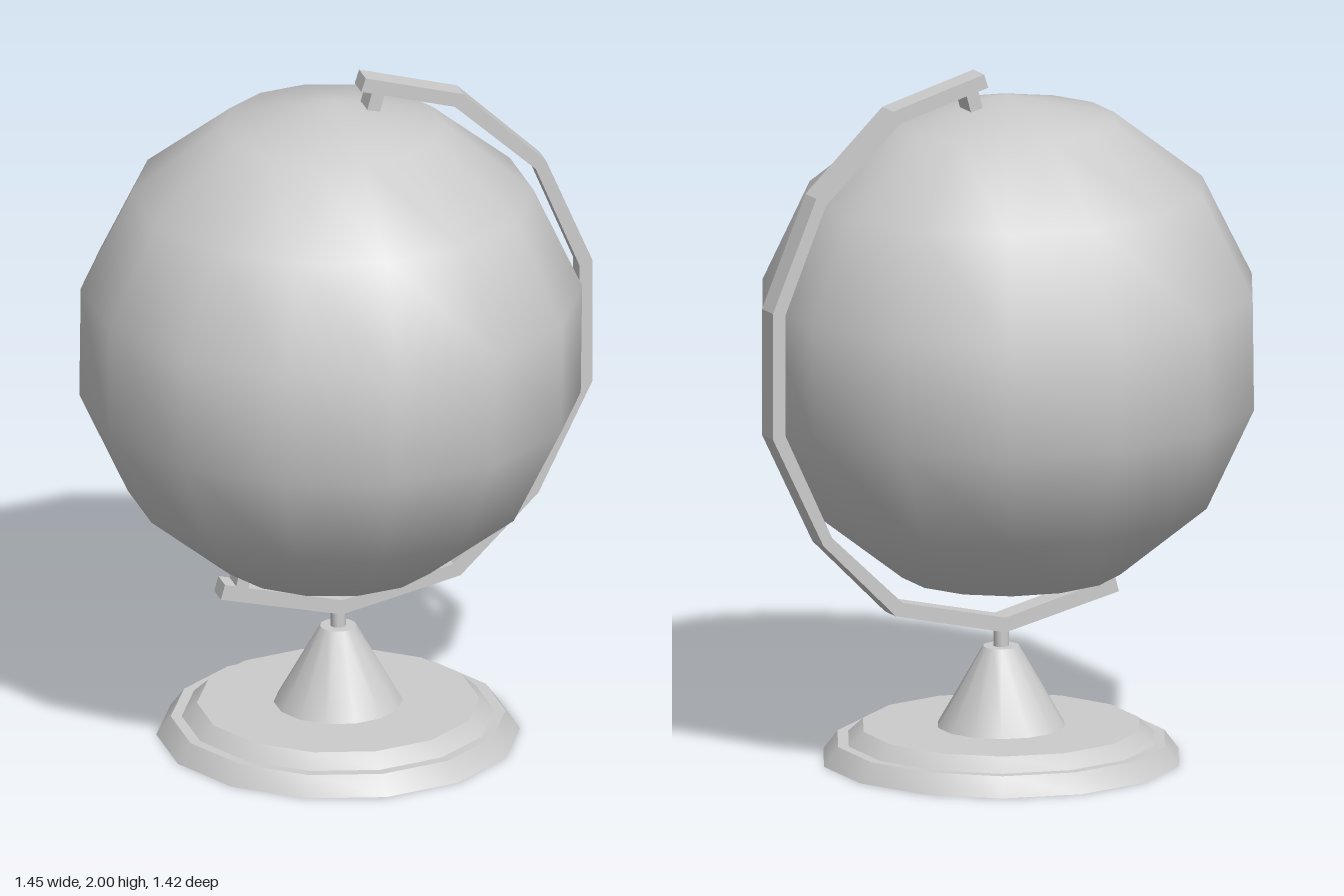
import * as THREE from 'three';
import { toCreasedNormals } from 'three/addons/utils/BufferGeometryUtils.js';

const SIDES = 14;
const CENTRE_X = -0.013; // axis of the foot and stem
const vectors = (points) => points.map(([x, y]) => new THREE.Vector2(x, y));

export function createModel() {
  const model = new THREE.Group();
  model.name = 'deskGlobe';
  const material = new THREE.MeshStandardMaterial({ color: 0xcccccc });

  const add = (name, geometry, x = 0, y = 0) => {
    const mesh = new THREE.Mesh(geometry, material);
    mesh.name = name;
    mesh.position.set(x, y, 0);
    model.add(mesh);
    return mesh;
  };
  // Turned part, smooth around the axis and sharp between its bands
  const turned = (profile) =>
    toCreasedNormals(new THREE.LatheGeometry(vectors(profile), SIDES), 0.5);

  // Ball: facets face left and right, leaning very slightly
  const ball = new THREE.SphereGeometry(0.728, SIDES, SIDES / 2);
  ball.rotateY(Math.PI / 2);
  add('ball', ball, -0.035, 1.195).rotation.z = -0.013;

  // Stepped foot
  add('foot', turned([
    [0, 0], [0.515, 0], [0.474, 0.055], [0.443, 0.055], [0.4, 0.095], [0, 0.095],
  ]), CENTRE_X);

  // Cone rising from the foot
  add('cone', turned([[0.183, 0.095], [0.052, 0.325], [0, 0.325]]), CENTRE_X);

  // Short stem under the arm
  add('stem', turned([[0.022, 0.32], [0.022, 0.4], [0, 0.4]]), CENTRE_X);

  // Arm: outer edge from top to bottom, then back along the inner edge,
  // with a short pin reaching into the ball near each end
  const armShape = new THREE.Shape(vectors([
    [0.058, 1.997], [0.345, 1.918], [0.587, 1.69], [0.724, 1.37],
    [0.724, 1.005], [0.565, 0.68], [0.336, 0.452], [-0.01, 0.37], [-0.367, 0.453],
    [-0.355, 0.497], [-0.322, 0.489], [-0.308, 0.55], [-0.272, 0.541], [-0.286, 0.48],
    [-0.01, 0.413], [0.315, 0.489], [0.537, 0.7], [0.685, 1.013],
    [0.685, 1.36], [0.557, 1.667], [0.32, 1.882],
    [0.113, 1.939], [0.096, 1.878], [0.059, 1.888], [0.076, 1.949], [0.045, 1.957],
  ]));
  const depth = 0.07;
  const arm = new THREE.ExtrudeGeometry(armShape, { depth, bevelEnabled: false });
  arm.translate(0, 0, -depth / 2);
  add('arm', arm);

  return model;
}
